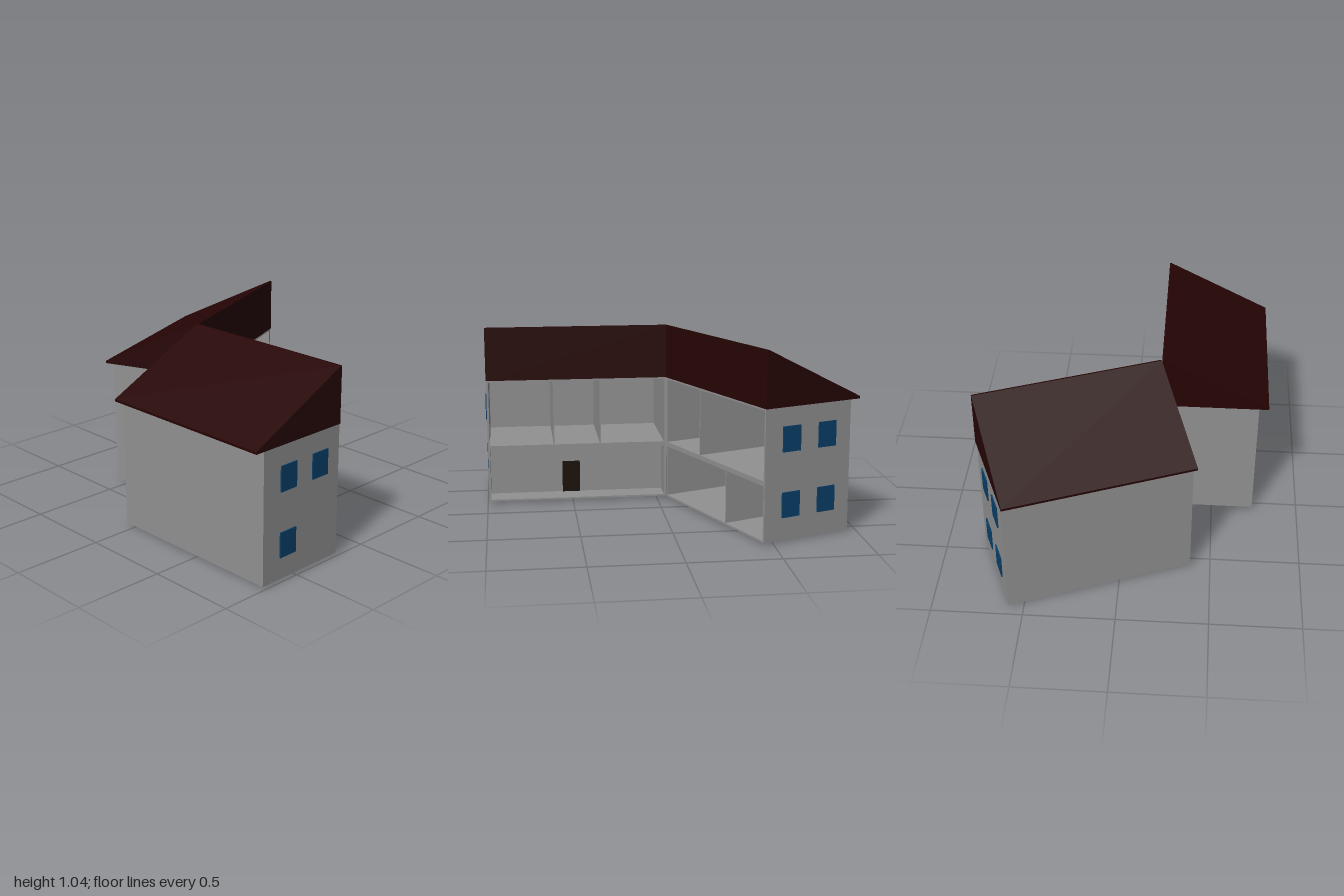
import * as THREE from 'three';

const mat = (color) => new THREE.MeshStandardMaterial({ color, flatShading: true });
const GREY = mat(0x919191), ROOF = mat(0x270404), GLASS = mat(0x08406a), WOOD = mat(0x1a0f06);

const L = 1.045;           // wing length
const D = 0.543;           // wing depth
const T = 0.012;           // wall thickness
const Y0 = 0.015, Y1 = 0.737, MID0 = 0.322, MID1 = 0.349, CEIL = 0.724;

// Box from ranges: u along the wing, y up, v depth behind the open face
function panel(parent, name, material, [u0, u1], [y0, y1], [v0, v1]) {
  const mesh = new THREE.Mesh(new THREE.BoxGeometry(u1 - u0, y1 - y0, v1 - v0), material);
  mesh.position.set((u0 + u1) / 2, (y0 + y1) / 2, -(v0 + v1) / 2);
  mesh.name = name;
  parent.add(mesh);
}

// Shell shared by both wings, open at the front, with a lean-to roof
function makeWing(name, overhang) {
  const wing = new THREE.Group();
  wing.name = name;
  const inner = [T, L - T];
  panel(wing, 'groundFloor', GREY, inner, [Y0, Y0 + 0.01], [0, D]);
  panel(wing, 'upperFloor', GREY, inner, [MID0, MID1], [0, D - 0.02]);
  panel(wing, 'ceiling', GREY, inner, [CEIL, Y1], [0, D]);
  panel(wing, 'backWall', GREY, inner, [Y0, Y1], [0.505, D]);
  panel(wing, 'endWall', GREY, [0, T], [Y0, Y1], [0, D]);
  panel(wing, 'endWall', GREY, [L - T, L], [Y0, Y1], [0, D]);

  // Roof profile in depth and height, swept along the wing
  const profile = new THREE.Shape([
    [-0.003, 0.735], [0.597, 0.735], [0.597, 0.748], [0.006, 1.043], [-0.003, 1.043],
  ].map(([v, y]) => new THREE.Vector2(v, y)));
  const geo = new THREE.ExtrudeGeometry(profile, { depth: L + 0.002 + overhang, bevelEnabled: false });
  geo.rotateY(Math.PI / 2);
  const roof = new THREE.Mesh(geo, ROOF);
  roof.position.x = -0.002;
  roof.name = 'roof';
  wing.add(roof);
  return wing;
}

// Windows on an end wall, each given as [depth, height]
function addWindows(wing, u, spots) {
  for (const [v, y] of spots) {
    panel(wing, 'window', GLASS, [u - 0.007, u + 0.007], [y, y + 0.138], [v, v + 0.112]);
  }
}

export function createModel() {
  const house = new THREE.Group();
  house.name = 'house';

  // Straight wing: three upper rooms, shallow ground floor with a door
  const straight = makeWing('straightWing', 0.002);
  straight.position.set(-0.195, 0, 0.992);
  straight.rotation.y = Math.PI / 2;
  for (const u of [0.386, 0.657]) {
    panel(straight, 'upperDivider', GREY, [u - 0.003, u + 0.003], [MID1, CEIL], [0.002, 0.505]);
  }
  panel(straight, 'lowerInnerWall', GREY, [T, L - T], [Y0 + 0.01, MID0], [0.14, 0.152]);
  panel(straight, 'door', WOOD, [0.437, 0.541], [Y0 + 0.01, 0.211], [0.134, 0.142]);
  const knob = new THREE.Mesh(new THREE.SphereGeometry(0.005, 10, 8), WOOD);
  knob.position.set(0.517, 0.11, -0.131);
  knob.name = 'doorKnob';
  straight.add(knob);
  addWindows(straight, 0, [[0.087, 0.49], [0.314, 0.49], [0.314, 0.134]]);
  house.add(straight);

  // Angled wing: two rooms per storey with inner walls at different depths
  const angled = makeWing('angledWing', 0.008);
  angled.position.set(-0.186, 0, -0.055);
  angled.rotation.y = Math.atan2(0.39, 0.975);
  panel(angled, 'upperDivider', GREY, [0.379, 0.385], [MID1, CEIL], [0.002, 0.505]);
  panel(angled, 'upperInnerWall', GREY, [T, 0.379], [MID1, CEIL], [0.31, 0.322]);
  panel(angled, 'lowerDivider', GREY, [0.659, 0.665], [Y0 + 0.01, MID0], [0.002, 0.505]);
  panel(angled, 'lowerInnerWall', GREY, [0.665, L - T], [Y0 + 0.01, MID0], [0.315, 0.327]);
  panel(angled, 'stairBlock', GREY, [0.586, 0.908], [0, 0.417], [0.35, 0.394]);
  addWindows(angled, L, [0.108, 0.335].flatMap((v) => [[v, 0.494], [v, 0.138]]));
  house.add(angled);

  return house;
}
